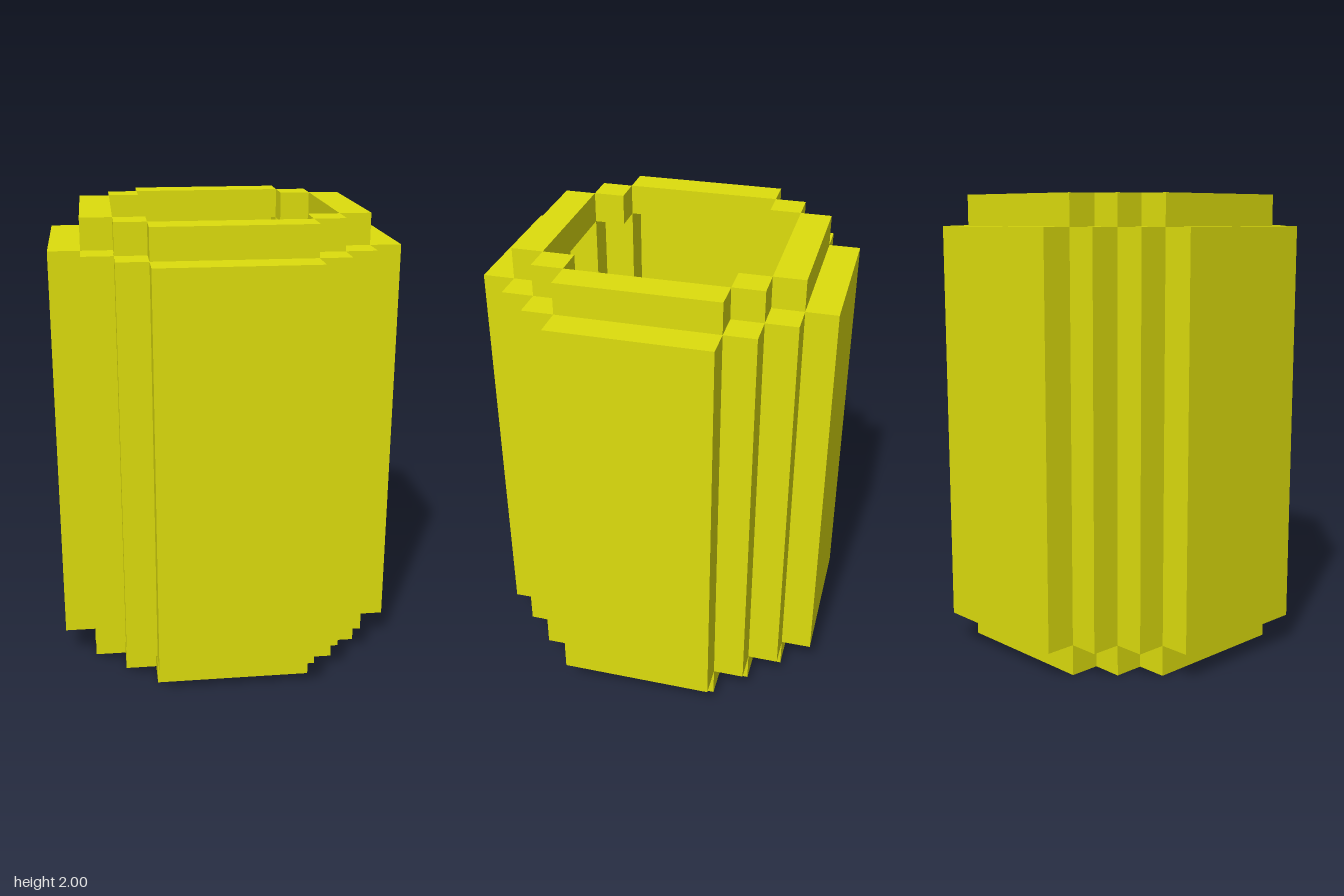
import * as THREE from 'three';

const U = 2 / 15; // one block

export function createModel() {
  const model = new THREE.Group();
  model.name = 'barrel';
  const material = new THREE.MeshStandardMaterial({ color: 0xdddd0d, flatShading: true });

  // Box measured in blocks, standing on level y
  const block = (parent, name, w, h, d, x, y, z) => {
    const mesh = new THREE.Mesh(new THREE.BoxGeometry(w * U, h * U, d * U), material);
    mesh.position.set(x * U, (y + h / 2) * U, z * U);
    mesh.name = name;
    parent.add(mesh);
  };

  // Hollow ring: one long panel per side, plus corner posts, turned four times
  const ring = (name, radius, posts, y, h) => {
    const group = new THREE.Group();
    group.name = name;
    for (let i = 0; i < 4; i++) {
      const side = new THREE.Group();
      side.name = name + 'Side';
      side.rotation.y = i * Math.PI / 2;
      block(side, name + 'Panel', 5, h, 1, 0, y, radius);
      for (const [x, z] of posts) block(side, name + 'CornerPost', 1, h, 1, x, y, z);
      group.add(side);
    }
    model.add(group);
  };

  ring('wall', 5, [[3, 4], [4, 3]], 1, 13);
  ring('rim', 4, [[3, 3]], 14, 1);

  // Solid stepped floor
  const corner = [[4.5, 2.5], [3.5, 2.5], [3.5, 3.5], [2.5, 3.5], [2.5, 4.5]];
  const outline = [];
  for (let i = 0; i < 4; i++) {
    const c = Math.round(Math.cos(i * Math.PI / 2)), s = Math.round(Math.sin(i * Math.PI / 2));
    for (const [x, z] of corner) outline.push(new THREE.Vector2((x * c - z * s) * U, (x * s + z * c) * U));
  }
  const floorGeometry = new THREE.ExtrudeGeometry(new THREE.Shape(outline), { depth: U, bevelEnabled: false });
  floorGeometry.rotateX(-Math.PI / 2);
  const floor = new THREE.Mesh(floorGeometry, material);
  floor.name = 'floor';
  model.add(floor);

  return model;
}
